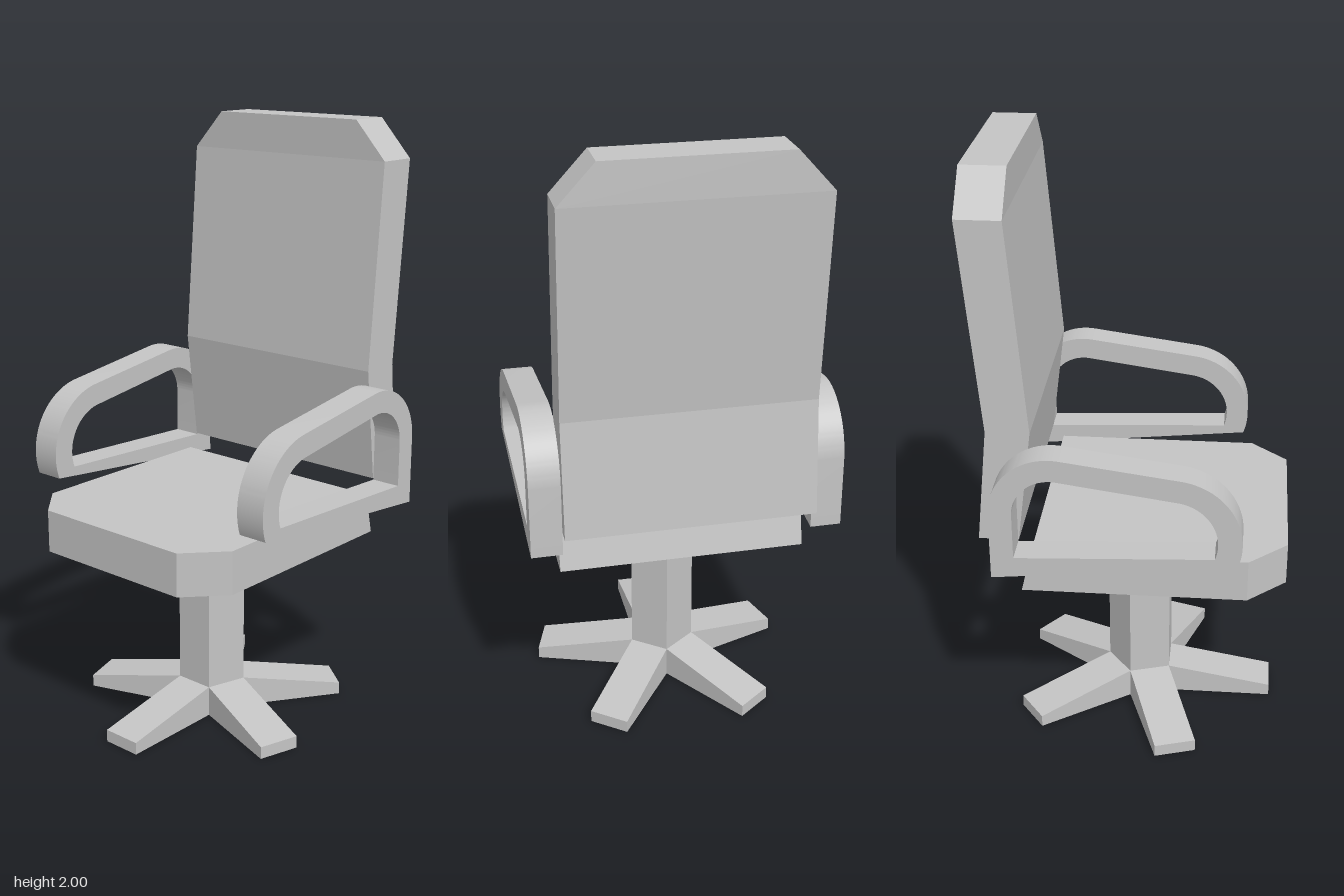
import * as THREE from 'three';
import { toCreasedNormals } from 'three/addons/utils/BufferGeometryUtils.js';

const V = (x, y, z) => new THREE.Vector3(x, y, z);

// Flat-faced solid through matching rings of points (counter-clockwise seen from the last ring)
function loft(rings) {
  const pts = [];
  const n = rings[0].length;
  const last = rings[rings.length - 1];
  for (let r = 0; r + 1 < rings.length; r++) {
    for (let i = 0; i < n; i++) {
      const j = (i + 1) % n;
      const [a, b, c, d] = [rings[r][i], rings[r][j], rings[r + 1][j], rings[r + 1][i]];
      pts.push(a, b, c, a, c, d);
    }
  }
  for (let i = 1; i + 1 < n; i++) {
    pts.push(last[0], last[i], last[i + 1]);
    pts.push(rings[0][0], rings[0][i + 1], rings[0][i]);
  }
  const geo = new THREE.BufferGeometry().setFromPoints(pts);
  geo.computeVertexNormals();
  return geo;
}

// Closed armrest outline (drawn as z, y) at one offset of the band
function armOutline(path, rearR, frontR, rearZ, frontZ, bottom) {
  const tilt = THREE.MathUtils.degToRad(81.3);
  const low = THREE.MathUtils.degToRad(-20);
  path.moveTo(frontZ, bottom);
  path.absarc(0.133, 0.892, frontR, low, tilt, false);
  path.absarc(-0.232, 0.97, rearR, tilt, Math.PI, false);
  path.lineTo(rearZ, bottom);
  path.closePath();
  return path;
}

export function createModel() {
  const grey = new THREE.MeshStandardMaterial({ color: 0xc4c4c4 });
  grey.name = 'grey';
  const model = new THREE.Group();
  model.name = 'officeChair';
  const add = (name, geo, parent = model) => {
    const mesh = new THREE.Mesh(geo, grey);
    mesh.name = name;
    parent.add(mesh);
    return mesh;
  };

  // Seat: clipped front corners, sloping rear face
  const seatRing = (y, back) => [
    V(0.285, y, 0.5), V(0.4, y, 0.375), V(0.4, y, back),
    V(-0.4, y, back), V(-0.4, y, 0.375), V(-0.285, y, 0.5),
  ];
  add('seat', loft([seatRing(0.63, -0.35), seatRing(0.773, -0.316)]));

  // Backrest: bent at the lumbar line, clipped top corners
  const backRing = ([y, w, front, back]) => [
    V(w, y, front), V(w, y, back), V(-w, y, back), V(-w, y, front),
  ];
  add('backrest', loft([
    [0.82, 0.4, -0.352, -0.48],
    [1.2, 0.4, -0.304, -0.442],
    [1.875, 0.4, -0.358, -0.5],
    [2, 0.285, -0.358, -0.5],
  ].map(backRing)));

  // Armrests: looped bands on both sides
  const band = armOutline(new THREE.Shape(), 0.195, 0.222, -0.427, 0.312, 0.74);
  band.holes.push(armOutline(new THREE.Path(), 0.122, 0.147, -0.354, 0.262, 0.815));
  const armGeo = toCreasedNormals(
    new THREE.ExtrudeGeometry(band, { depth: 0.1, bevelEnabled: false, curveSegments: 20 }), 0.5);
  armGeo.rotateY(-Math.PI / 2);
  add('leftArmrest', armGeo).position.x = 0.5;
  add('rightArmrest', armGeo).position.x = -0.4;

  // Five-sided column and star base
  const base = new THREE.Group();
  base.name = 'base';
  base.scale.z = 1.055;
  base.position.z = 0.011;
  model.add(base);
  const R = 0.114;
  const ring = (y) => Array.from({ length: 5 }, (_, i) => {
    const a = Math.PI / 5 + i * Math.PI * 0.4;
    return V(R * Math.sin(a), y, R * Math.cos(a));
  });
  add('column', loft([ring(0), ring(0.63)]), base);

  // Tapered legs, one from each face of the column
  const w = R * Math.sin(Math.PI / 5);
  const legRing = (z, h) => [V(-w, 0, z), V(w, 0, z), V(w, h, z), V(-w, h, z)];
  const legGeo = loft([legRing(R * Math.cos(Math.PI / 5), 0.105), legRing(0.433, 0.042)]);
  for (let i = 0; i < 5; i++) {
    add('leg' + (i + 1), legGeo, base).rotation.y = i * Math.PI * 0.4;
  }
  return model;
}
